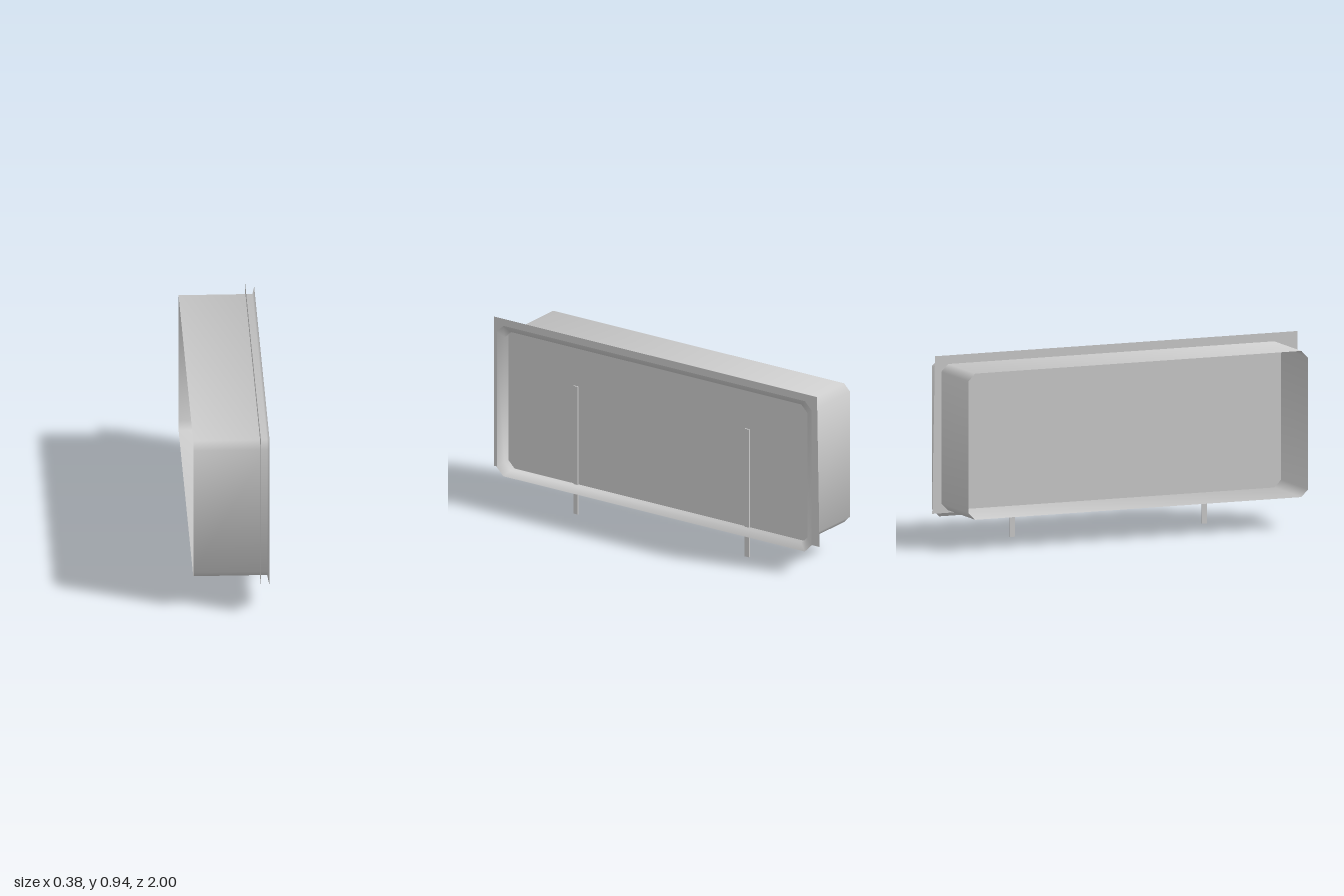
import * as THREE from 'three';

const steel = new THREE.MeshStandardMaterial({ color: 0xcccccc, side: THREE.DoubleSide });
steel.name = 'paleGrey';

// Corners of a chamfered rectangle in the z/y plane, from the top edge towards +z
function chamferedRing(z0, z1, y0, y1, c) {
  return [
    [z1 - c, y1], [z1, y1 - c], [z1, y0 + c], [z1 - c, y0],
    [z0 + c, y0], [z0, y0 + c], [z0, y1 - c], [z0 + c, y1],
  ];
}

// Open sleeve with a flared lip: chamfered rings joined along x, smooth round the corners
function sleeveGeometry() {
  const rings = [
    { x: -0.19, lean: 0, pts: chamferedRing(-0.95, 0.91, 0.158, 0.899, 0.037) },
    { x: 0.18, lean: -0.25, pts: chamferedRing(-0.95, 0.91, 0.158, 0.899, 0.037) },
    { x: 0.19, lean: -0.9, pts: chamferedRing(-0.982, 0.95, 0.122, 0.926, 0.04) },
  ];
  const positions = [], normals = [], index = [];
  rings.forEach(({ x, lean, pts }, r) => pts.forEach(([z, y], j) => {
    positions.push(x, y, z);
    const a = Math.PI / 8 + j * Math.PI / 4;
    const n = new THREE.Vector3(lean, Math.cos(a), Math.sin(a)).normalize();
    normals.push(n.x, n.y, n.z);
    if (r < rings.length - 1) {
      const p = r * 8 + j, q = r * 8 + (j + 1) % 8;
      index.push(p, q, p + 8, q, q + 8, p + 8);
    }
  }));
  const g = new THREE.BufferGeometry();
  g.setAttribute('position', new THREE.Float32BufferAttribute(positions, 3));
  g.setAttribute('normal', new THREE.Float32BufferAttribute(normals, 3));
  g.setIndex(index);
  return g;
}

export function createModel() {
  const model = new THREE.Group();
  const add = (name, geometry) => {
    const mesh = new THREE.Mesh(geometry, steel);
    mesh.name = name;
    model.add(mesh);
    return mesh;
  };

  add('flaredSleeve', sleeveGeometry());

  // Flat sheet crossing the sleeve; shape x runs along -z, one end slightly slanted
  const outline = new THREE.Shape([[-1, 0.145], [1, 0.145], [0.985, 0.943], [-1, 0.943]]
    .map(([x, y]) => new THREE.Vector2(x, y)));
  const panel = add('panel', new THREE.ShapeGeometry(outline));
  panel.rotation.y = Math.PI / 2;
  panel.position.x = 0.145;

  // Two upright strips standing against the panel
  [['leftStrip', 0.492], ['rightStrip', -0.559]].forEach(([name, z]) => {
    add(name, new THREE.BoxGeometry(0.008, 0.682, 0.027)).position.set(0.15, 0.341, z);
  });

  return model;
}
